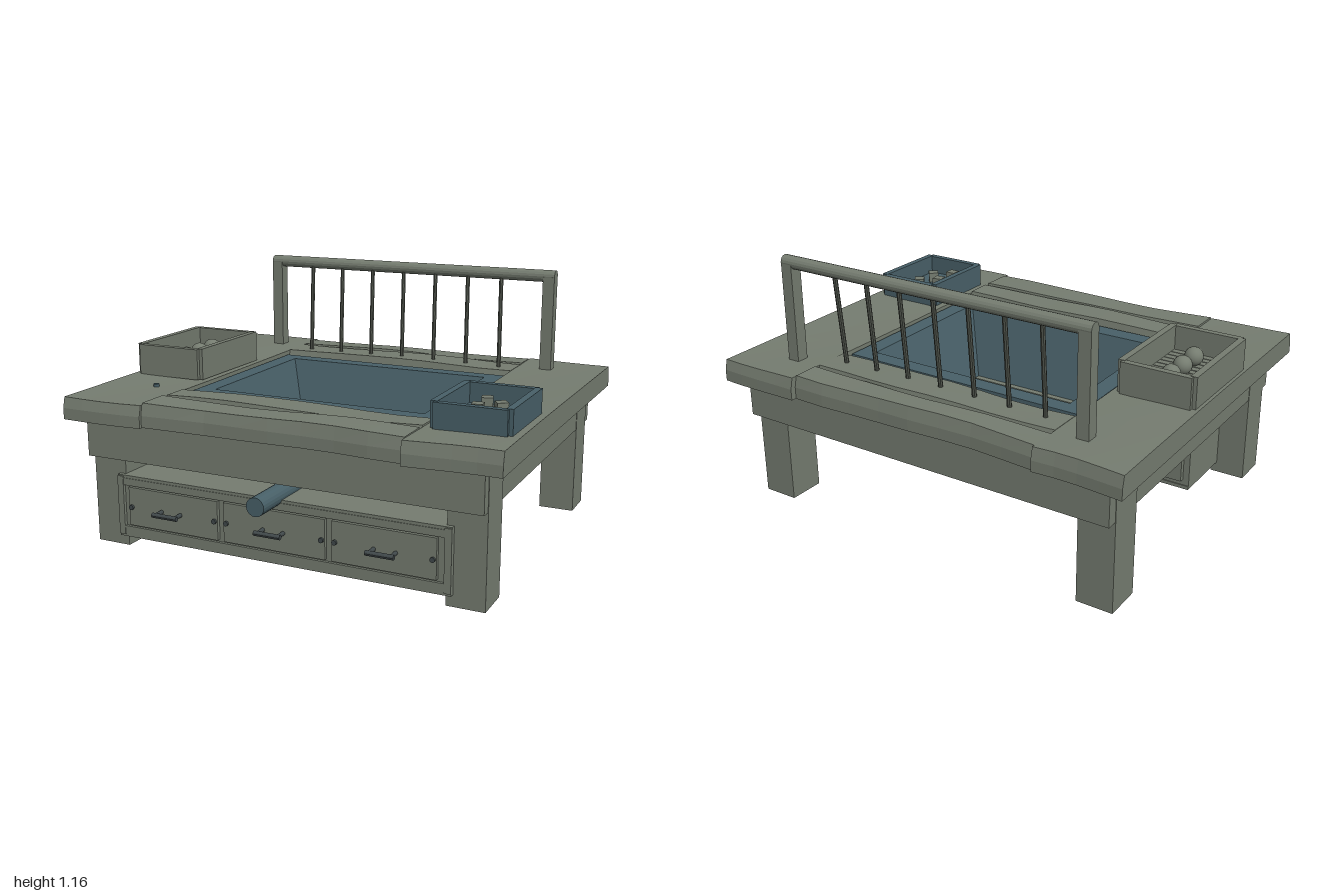
import * as THREE from 'three';

const mat = (name, color, double = false) => {
  const m = new THREE.MeshStandardMaterial({ color, flatShading: true });
  m.name = name;
  if (double) m.side = THREE.DoubleSide;
  return m;
};

export function createModel() {
  const root = new THREE.Group();
  root.name = 'sinkTable';
  const wood = mat('greyWood', 0x757c70);
  const steel = mat('blueSteel', 0x486068);
  const basinFloor = mat('darkBasinFloor', 0x0b2426);
  const iron = mat('darkIron', 0x40484a);
  const bar = mat('darkWoodRod', 0x53584f);
  const smoothWood = wood.clone();
  smoothWood.flatShading = false;

  const add = (name, geo, material, x = 0, y = 0, z = 0, parent = root) => {
    const mesh = new THREE.Mesh(geo, material);
    mesh.name = name;
    mesh.position.set(x, y, z);
    parent.add(mesh);
    return mesh;
  };
  // Box given by its min and max on each axis
  const box = (name, material, x0, x1, y0, y1, z0, z1, parent = root) =>
    add(name, new THREE.BoxGeometry(x1 - x0, y1 - y0, z1 - z0), material,
      (x0 + x1) / 2, (y0 + y1) / 2, (z0 + z1) / 2, parent);
  // Cylinder between two points
  const rod = (name, material, a, b, r, parent = root, sides = 12) => {
    const p = new THREE.Vector3(...a), d = new THREE.Vector3(...b).sub(p);
    const mesh = add(name, new THREE.CylinderGeometry(r, r, d.length(), sides), material, 0, 0, 0, parent);
    mesh.position.copy(p).addScaledVector(d, 0.5);
    mesh.quaternion.setFromUnitVectors(new THREE.Vector3(0, 1, 0), d.normalize());
    return mesh;
  };
  // Hand-cut plank: its long edges and top wander a little along its length
  const plank = (name, x0, x1, y0, y1, z0, z1, alongX, seed) => {
    const geo = new THREE.BoxGeometry(x1 - x0, y1 - y0, z1 - z0, alongX ? 8 : 4, 2, alongX ? 3 : 8);
    const p = geo.attributes.position;
    const hz = (z1 - z0) / 2, hy = (y1 - y0) / 2;
    for (let i = 0; i < p.count; i++) {
      const x = p.getX(i), y = p.getY(i), z = p.getZ(i);
      const edge = Math.abs(z) > hz - 0.001 ? Math.sign(z) : 0;
      const wave = Math.sin(x * 5 + seed * 2 + edge) * 0.008 + Math.sin(x * 11 + seed) * 0.004;
      const bevel = edge && y > hy - 0.001 ? -edge * 0.012 : 0;
      p.setZ(i, z + (edge ? wave + bevel : 0));
      const top = y > hy - 0.001 ? 1 : y < -hy + 0.001 ? 0.5 : 0;
      p.setY(i, y + top * Math.sin(x * 6 + seed * 3 + z * 2) * 0.004);
    }
    geo.computeVertexNormals();
    return add(name, geo, wood, (x0 + x1) / 2, (y0 + y1) / 2, (z0 + z1) / 2);
  };

  // Table top
  plank('rightTopPlank', -1, -0.605, 0.58, 0.68, -0.87, 0.81, false, 1);
  plank('leftTopPlank', 0.6, 1, 0.58, 0.68, -0.875, 0.81, false, 4);
  plank('frontOuterPlank', -0.605, 0.6, 0.58, 0.685, 0.615, 0.78, true, 2);
  plank('frontInnerPlank', -0.605, 0.6, 0.58, 0.685, 0.455, 0.612, true, 3);
  plank('backOuterPlank', -0.605, 0.6, 0.58, 0.685, -0.84, -0.71, true, 5);
  plank('backInnerPlank', -0.605, 0.6, 0.58, 0.685, -0.708, -0.525, true, 2.5);

  // Legs and apron
  for (const s of [-1, 1]) {
    const [a, b] = s < 0 ? [-0.92, -0.755] : [0.755, 0.92];
    box('frontLeg', wood, a, b, 0, 0.58, 0.545, 0.715);
    box('backLeg', wood, a, b, 0, 0.58, -0.76, -0.59);
    box('sideApron', wood, s < 0 ? -0.918 : 0.83, s < 0 ? -0.83 : 0.918, 0.41, 0.58, -0.76, 0.715);
  }
  box('frontApron', wood, -0.918, 0.918, 0.41, 0.58, 0.67, 0.76);
  box('backApron', wood, -0.918, 0.918, 0.41, 0.58, -0.81, -0.72);

  // Basin: rectangular rings up the outside, over the rim and down the slopes
  const ring = (x, z0, z1, y) => [[-x, y, z0], [-x, y, z1], [x, y, z1], [x, y, z0]];
  const rings = [ring(0.59, -0.485, 0.435, 0.29), ring(0.59, -0.485, 0.435, 0.665),
    ring(0.51, -0.41, 0.35, 0.665), ring(0.4, -0.3, 0.24, 0.32)];
  const verts = [];
  const quad = (a, b, c, d) => verts.push(...a, ...b, ...c, ...a, ...c, ...d);
  for (let k = 0; k < 3; k++) {
    for (let i = 0; i < 4; i++) {
      const j = (i + 1) % 4;
      quad(rings[k][i], rings[k][j], rings[k + 1][j], rings[k + 1][i]);
    }
  }
  quad(...rings[0].slice().reverse());
  const basin = new THREE.BufferGeometry();
  basin.setAttribute('position', new THREE.Float32BufferAttribute(verts, 3));
  basin.computeVertexNormals();
  add('basin', basin, steel);
  box('basinFloor', basinFloor, -0.4, 0.4, 0.315, 0.323, -0.3, 0.24);

  // Drain pipe and its valve stem
  rod('drainPipe', steel, [0, 0.345, 0.43], [0, 0.345, 0.885], 0.041, root, 20);
  rod('valveStem', iron, [0, 0.36, 0.63], [0, 0.45, 0.63], 0.014);
  rod('topButton', steel, [-0.755, 0.675, 0.46], [-0.755, 0.69, 0.46], 0.013);

  // Drawer chest
  const chest = new THREE.Group();
  chest.name = 'drawerChest';
  root.add(chest);
  box('chestBody', wood, -0.755, 0.755, 0.065, 0.325, 0.22, 0.725, chest);
  box('chestTop', wood, -0.785, 0.785, 0.32, 0.335, 0.215, 0.735, chest);
  box('chestBase', wood, -0.785, 0.785, 0.05, 0.067, 0.215, 0.735, chest);
  box('chestBack', wood, -0.755, 0.755, 0.095, 0.33, 0.195, 0.222, chest);
  for (const s of [-1, 1]) {
    box('chestSide', wood, s * 0.77 - 0.015, s * 0.77 + 0.015, 0.06, 0.33, 0.22, 0.74, chest);
    box('faceRail', wood, -0.755, 0.755, s < 0 ? 0.065 : 0.29, s < 0 ? 0.1 : 0.322, 0.7, 0.738, chest);
  }
  [-0.4975, 0, 0.4975].forEach((x, i) => {
    const w = i === 1 ? 0.24 : 0.2275;
    box('drawerFront', wood, x - w, x + w, 0.11, 0.285, 0.7, 0.742, chest);
    const hx = Math.sign(x) * 0.505;
    for (const s of [-1, 1]) {
      rod('handlePost', iron, [hx + s * 0.048, 0.195, 0.74], [hx + s * 0.048, 0.195, 0.792], 0.009, chest);
      rod('drawerStud', iron, [x + s * (w - 0.015), 0.195, 0.735], [x + s * (w - 0.015), 0.195, 0.752], 0.011, chest);
    }
    rod('handleGrip', iron, [hx - 0.062, 0.195, 0.792], [hx + 0.062, 0.195, 0.792], 0.011, chest);
  });

  // Back rack with leaning rods
  for (const s of [-1, 1]) {
    box('rackPost', wood, s * 0.737 - 0.028, s * 0.737 + 0.028, 0.66, 1.125, -0.705, -0.648);
  }
  rod('rackRail', wood, [-0.765, 1.128, -0.677], [0.765, 1.128, -0.677], 0.029, root, 16);
  for (let i = -3; i <= 3; i++) {
    const x = i * 0.1715;
    rod('rackRod', bar, [x + 0.004, 0.67, -0.6], [x - 0.018, 1.12, -0.668], 0.0105, root, 8);
  }

  // Open tray with stepped corners
  const tray = (name, material, x0, x1, y0, y1, z0, z1) => {
    const g = new THREE.Group();
    g.name = name;
    root.add(g);
    const t = 0.03, n = 0.017;
    box('trayFloor', material, x0 + n, x1 - n, y0, y0 + 0.02, z0 + n, z1 - n, g);
    box('trayWall', material, x0, x0 + t, y0, y1, z0 + n, z1 - n, g);
    box('trayWall', material, x1 - t, x1, y0, y1, z0 + n, z1 - n, g);
    box('trayEnd', material, x0 + n, x1 - n, y0, y1 - 0.002, z0, z0 + t, g);
    box('trayEnd', material, x0 + n, x1 - n, y0, y1 - 0.002, z1 - t, z1, g);
    return g;
  };

  // Wooden tray with slats and balls
  const ballTray = tray('ballTray', wood, -0.985, -0.63, 0.68, 0.825, -0.245, 0.285);
  for (let i = 0; i < 13; i++) {
    const z = -0.215 + i * 0.0362;
    box('floorSlat', wood, -0.956, -0.659, 0.695, 0.712, z + 0.002, z + 0.033, ballTray);
  }
  for (const z of [-0.098, 0.015, 0.128]) {
    add('ball', new THREE.SphereGeometry(0.042, 20, 14), smoothWood, -0.81, 0.754, z, ballTray);
  }

  // Blue tray with cubes
  const cubeTray = tray('cubeTray', steel, 0.63, 0.968, 0.68, 0.79, 0.19, 0.613);
  [[0.76, 0.285, 0.3], [0.84, 0.345, 0.6], [0.76, 0.405, 0.15], [0.84, 0.465, 0.7], [0.76, 0.525, 0]]
    .forEach(([x, z, turn]) => {
      add('cube', new THREE.BoxGeometry(0.048, 0.048, 0.048), wood, x, 0.726, z, cubeTray).rotation.y = turn;
    });

  return root;
}
